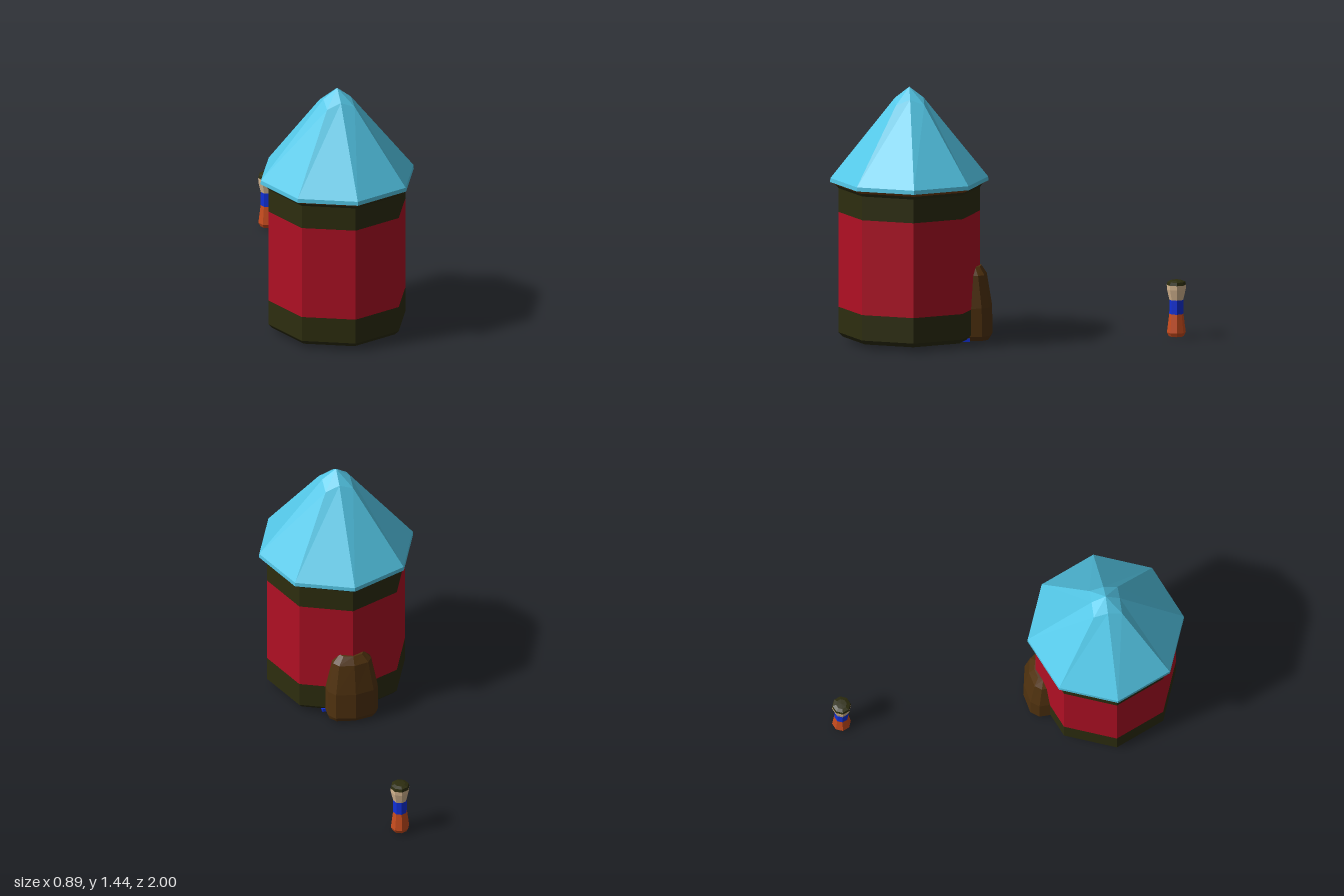
import * as THREE from 'three';

const mat = (name, color) => {
  const m = new THREE.MeshStandardMaterial({ color, flatShading: true, side: THREE.DoubleSide });
  m.name = name;
  return m;
};

// Eight-sided turned part; profile is [radius, height] from bottom to top
function turned(name, profile, material) {
  const g = new THREE.LatheGeometry(profile.map(([r, y]) => new THREE.Vector2(r, y)), 8);
  const mesh = new THREE.Mesh(g, material);
  mesh.name = name;
  return mesh;
}

// Skin through rings of equal point count, closed at the last ring's centre
function loft(name, rings, closed, capStart, material) {
  const n = rings[0].length, pos = [], idx = [];
  rings.forEach(r => r.forEach(p => pos.push(...p)));
  const spans = closed ? n : n - 1;
  for (let i = 0; i < rings.length - 1; i++) {
    for (let j = 0; j < spans; j++) {
      const a = i * n + j, b = i * n + (j + 1) % n;
      idx.push(a, b, b + n, a, b + n, a + n);
    }
  }
  const cap = (start, flip) => {
    for (let j = 1; j < n - 1; j++) {
      idx.push(start, start + (flip ? j + 1 : j), start + (flip ? j : j + 1));
    }
  };
  if (capStart) cap(0, true);
  cap((rings.length - 1) * n, false);
  const g = new THREE.BufferGeometry();
  g.setAttribute('position', new THREE.Float32BufferAttribute(pos, 3));
  g.setIndex(idx);
  g.computeVertexNormals();
  const mesh = new THREE.Mesh(g, material);
  mesh.name = name;
  return mesh;
}

export function createModel() {
  const cyan = mat('roofBlue', 0x54c8e8);
  const red = mat('wallRed', 0xb01024);
  const green = mat('darkOlive', 0x2d2d0f);
  const brown = mat('doorBrown', 0x50320f);
  const trim = mat('trimBrown', 0x74400e);
  const blue = mat('shirtBlue', 0x1030d8);
  const orange = mat('trouserOrange', 0xc84c1e);
  const skin = mat('skin', 0xd8b892);

  const model = new THREE.Group();
  model.name = 'towerAndFigure';

  // Tower walls
  const tower = new THREE.Group();
  tower.name = 'tower';
  tower.position.z = 0.555;
  tower.add(
    turned('baseBand', [[0, 0.02], [0.375, 0.025], [0.398, 0.05], [0.398, 0.195]], green),
    turned('wall', [[0.398, 0.195], [0.398, 0.735]], red),
    turned('upperBand', [[0.398, 0.735], [0.398, 0.87], [0.412, 0.888]], green),
    turned('eaves', [[0.412, 0.888], [0.445, 0.905]], trim)
  );

  // Roof: octagon rim rising to a small square crown with a point
  const ring = (r, y, rDiag = r, yDiag = y) => Array.from({ length: 8 }, (_, i) => {
    const a = i * Math.PI / 4, k = i % 2 ? rDiag : r;
    return [Math.sin(a) * k, i % 2 ? yDiag : y, Math.cos(a) * k];
  });
  tower.add(loft('roof', [
    ring(0.445, 0.905),
    ring(0.443, 0.928),
    ring(0.08, 1.382, 0.113, 1.35),
    ring(0.0005, 1.443)
  ], true, false, cyan));
  model.add(tower);

  // Rounded door porch at the back of the tower
  const arch = (w, y, side, front) => [
    [w, y, 0.235], [w, y, side], [w * 0.76, y, front + (side - front) * 0.33],
    [0, y, front],
    [-w * 0.76, y, front + (side - front) * 0.33], [-w, y, side], [-w, y, 0.235]
  ];
  model.add(loft('door', [
    arch(0.135, 0.015, 0.155, 0.1),
    arch(0.145, 0.04, 0.155, 0.087),
    arch(0.143, 0.2, 0.157, 0.09),
    arch(0.11, 0.38, 0.175, 0.12),
    arch(0.07, 0.425, 0.19, 0.15)
  ], true, true, brown));

  // Small blue block by the door foot
  const block = new THREE.Mesh(new THREE.BoxGeometry(0.04, 0.018, 0.055), blue);
  block.name = 'doorStepBlock';
  block.position.set(0.14, 0.023, 0.252);
  model.add(block);

  // Little figure standing behind the tower
  const figure = new THREE.Group();
  figure.name = 'figure';
  figure.position.z = -0.945;
  figure.add(
    turned('trousers', [[0, 0], [0.042, 0.008], [0.053, 0.03], [0.04, 0.135]], orange),
    turned('shirt', [[0.04, 0.135], [0.039, 0.215]], blue),
    turned('head', [[0.039, 0.215], [0.053, 0.275], [0.054, 0.3]], skin),
    turned('hair', [[0.054, 0.3], [0.05, 0.318], [0.03, 0.326], [0, 0.327]], green)
  );
  model.add(figure);
  return model;
}
